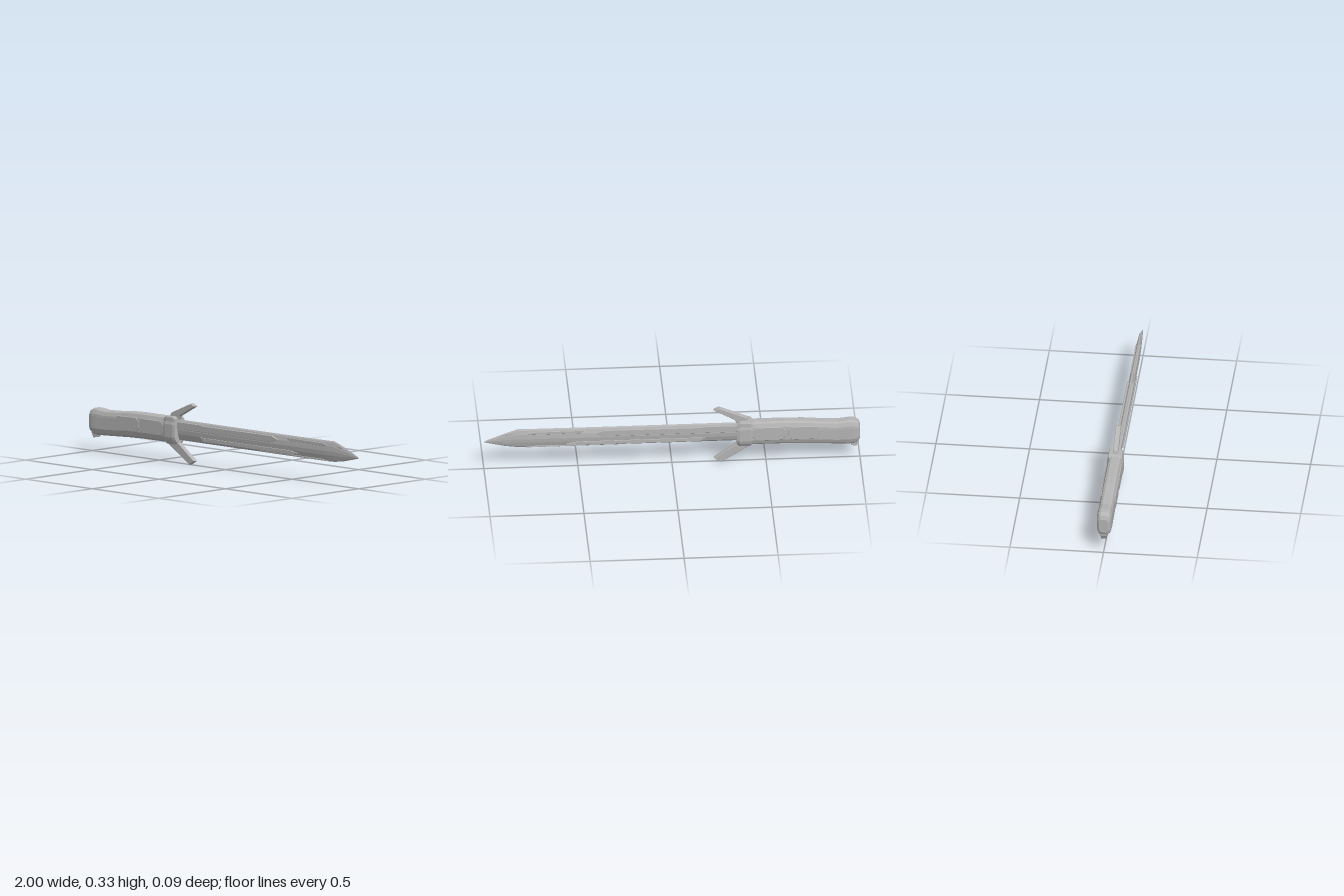
import * as THREE from 'three';

const steel = new THREE.MeshStandardMaterial({ color: 0xb4b4b4 });
steel.name = 'steel grey';
steel.flatShading = true;

// Loft along x. stations: [x, yLow, yHigh, halfZ]; half: [height 0..1, width 0..1] from top to bottom.
function loft(name, stations, half) {
  const ring = [...half, ...half.slice().reverse().filter(p => p[1] > 0).map(([v, w]) => [v, -w])];
  const n = ring.length;
  const rows = stations.map(([x, lo, hi, hz]) => ring.map(([v, w]) => [x, lo + (hi - lo) * v, hz * w]));
  const pos = [];
  const tri = (a, b, c) => pos.push(...a, ...b, ...c);
  for (let i = 0; i < rows.length - 1; i++) {
    for (let j = 0; j < n; j++) {
      const k = (j + 1) % n;
      tri(rows[i][j], rows[i][k], rows[i + 1][j]);
      tri(rows[i][k], rows[i + 1][k], rows[i + 1][j]);
    }
  }
  const first = rows[0], last = rows[rows.length - 1];
  for (let j = 1; j < n - 1; j++) {
    tri(first[0], first[j + 1], first[j]);
    tri(last[0], last[j], last[j + 1]);
  }
  const geo = new THREE.BufferGeometry();
  geo.setAttribute('position', new THREE.Float32BufferAttribute(pos, 3));
  geo.computeVertexNormals();
  return named(name, geo);
}

// Outline in x/y, extruded through both sides with a small chamfer.
function plate(name, points, halfZ, bevel = 0.002) {
  const shape = new THREE.Shape(points.map(p => new THREE.Vector2(...p)));
  const depth = 2 * (halfZ - bevel);
  const geo = new THREE.ExtrudeGeometry(shape, {
    depth, bevelEnabled: true, bevelThickness: bevel, bevelSize: bevel,
    bevelOffset: -bevel, bevelSegments: 1,
  });
  geo.translate(0, 0, -depth / 2);
  return named(name, geo);
}

function named(name, geo) {
  const mesh = new THREE.Mesh(geo, steel);
  mesh.name = name;
  return mesh;
}

export function createModel() {
  const sword = new THREE.Group();
  sword.name = 'sword';

  // Grip with a rounded, swollen pommel
  sword.add(loft('handle', [
    [-1, 0.125, 0.205, 0.024], [-0.992, 0.108, 0.224, 0.034], [-0.97, 0.098, 0.236, 0.039],
    [-0.94, 0.094, 0.237, 0.04], [-0.88, 0.097, 0.23, 0.039], [-0.8, 0.101, 0.234, 0.039],
    [-0.7, 0.106, 0.243, 0.039], [-0.6, 0.109, 0.246, 0.039], [-0.42, 0.11, 0.246, 0.039],
  ], [[1, 0.45], [0.95, 0.75], [0.8, 0.97], [0.7, 1], [0.25, 1], [0.08, 0.8], [0, 0.5]]));
  sword.add(plate('pommelStud',
    [[-0.995, 0.105], [-0.98, 0.076], [-0.955, 0.08], [-0.945, 0.105]], 0.016));

  // Raised hexagonal grip panels
  const y0 = 0.142, y1 = 0.22;
  sword.add(plate('rearGripPanel', [[-0.79, 0.19], [-0.77, y0], [-0.635, y0], [-0.615, 0.165],
    [-0.615, 0.2], [-0.635, y1], [-0.775, y1 - 0.003]], 0.0415));
  sword.add(plate('frontGripPanel', [[-0.605, 0.165], [-0.585, y0], [-0.45, y0], [-0.425, 0.165],
    [-0.425, 0.2], [-0.45, y1], [-0.585, y1], [-0.605, 0.2]], 0.0415));

  // Guard block and its swept prongs
  sword.add(loft('guard', [
    [-0.432, 0.118, 0.238, 0.038], [-0.415, 0.103, 0.252, 0.043],
    [-0.36, 0.103, 0.252, 0.043], [-0.345, 0.115, 0.242, 0.039],
  ], [[1, 0.8], [0.96, 0.88], [0.82, 0.9], [0.72, 1], [0.25, 1], [0.13, 0.88], [0, 0.62]]));
  sword.add(plate('upperProng', [[-0.41, 0.235], [-0.345, 0.235], [-0.335, 0.257],
    [-0.222, 0.318], [-0.25, 0.332], [-0.4, 0.268]], 0.0135, 0.003));
  sword.add(plate('lowerProng', [[-0.425, 0.125], [-0.425, 0.104], [-0.262, 0.002],
    [-0.225, 0.025], [-0.345, 0.112], [-0.345, 0.125]], 0.0135, 0.003));

  // Lens-section blade tapering to the point
  sword.add(loft('blade', [
    [-0.36, 0.126, 0.236, 0.016], [0.4, 0.126, 0.236, 0.016], [0.76, 0.126, 0.237, 0.014],
    [0.82, 0.128, 0.238, 0.012], [0.89, 0.138, 0.214, 0.008], [0.975, 0.158, 0.18, 0.003],
    [1, 0.164, 0.167, 0.001],
  ], [[1, 0], [0.93, 0.4], [0.72, 0.85], [0.5, 1], [0.3, 0.85], [0.08, 0.4], [0, 0]]));

  // Raised strips on both blade faces
  sword.add(plate('mainBladeStrip', [[-0.36, 0.187], [0.35, 0.187], [0.41, 0.206], [0.36, 0.223],
    [-0.15, 0.221], [-0.17, 0.225], [-0.36, 0.225]], 0.019));
  sword.add(plate('lowerBladeStrip', [[-0.18, 0.158], [-0.15, 0.136], [0.49, 0.136],
    [0.56, 0.147], [0.5, 0.158]], 0.0165));
  sword.add(plate('foreBladeStrip', [[0.46, 0.223], [0.49, 0.207], [0.76, 0.207],
    [0.775, 0.213], [0.74, 0.223]], 0.0135));
  sword.add(plate('edgeStrip', [[0.25, 0.136], [0.28, 0.129], [0.78, 0.129], [0.74, 0.136]], 0.009));
  sword.add(plate('tipNotch', [[0.84, 0.214], [0.86, 0.204], [0.9, 0.204], [0.87, 0.214]], 0.0075, 0.001));

  return sword;
}
